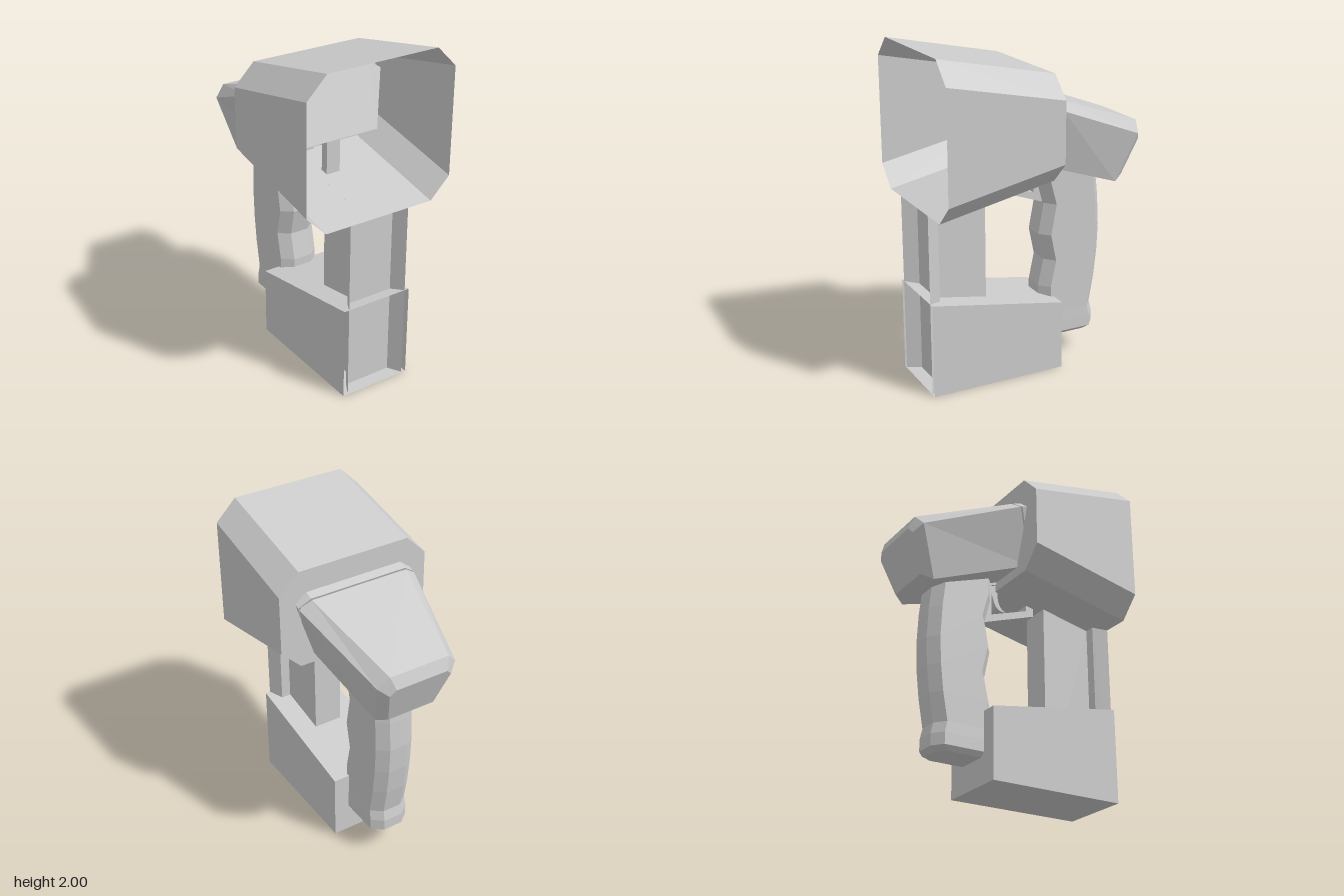
import * as THREE from 'three';

const material = new THREE.MeshStandardMaterial({ color: 0xcccccc, flatShading: true, side: THREE.DoubleSide });

// Joins matching rings of [x, y, z] points with flat faces; caps are fans.
function loft(name, rings, { capStart = true, capEnd = true, closed = true } = {}) {
  const pos = [];
  const tri = (a, b, c) => pos.push(...a, ...b, ...c);
  const n = rings[0].length;
  for (let r = 0; r < rings.length - 1; r++) {
    for (let i = 0; i < (closed ? n : n - 1); i++) {
      const j = (i + 1) % n, a = rings[r], b = rings[r + 1];
      tri(a[i], a[j], b[j]);
      tri(a[i], b[j], b[i]);
    }
  }
  const first = rings[0], last = rings[rings.length - 1];
  for (let i = 1; i < n - 1; i++) {
    if (capStart) tri(first[0], first[i + 1], first[i]);
    if (capEnd) tri(last[0], last[i], last[i + 1]);
  }
  const g = new THREE.BufferGeometry();
  g.setAttribute('position', new THREE.Float32BufferAttribute(pos, 3));
  g.computeVertexNormals();
  const mesh = new THREE.Mesh(g, material);
  mesh.name = name;
  return mesh;
}

// Extrudes a side outline of (z, y) points across x, centred.
function sidePlate(name, shape, width) {
  const g = new THREE.ExtrudeGeometry(shape, { depth: width, bevelEnabled: false, curveSegments: 8 });
  g.translate(0, 0, -width / 2).rotateY(-Math.PI / 2);
  const mesh = new THREE.Mesh(g, material);
  mesh.name = name;
  return mesh;
}
const outline = (pts) => new THREE.Shape(pts.map(([z, y]) => new THREE.Vector2(z, y)));

// Height of the sloping hood floor at depth z
const floorY = (z) => 1.1 + (0.69 - z) * 0.206;

function hoodRing(z, bottom, lowSide, highSide, top) {
  const w = 0.48, f = 0.355;
  return [[-f, bottom, z], [f, bottom, z], [w, lowSide, z], [w, highSide, z],
    [f, top, z], [-f, top, z], [-w, highSide, z], [-w, lowSide, z]];
}

// Head section: s runs along the tilted axis, t is the drop below its top
function headRing(s, [topX, topT], [sideX, sideT], [bottomX, bottomT], inset = 0) {
  const a = topX - inset, b = sideX - inset, c = bottomX - inset;
  const ta = -topT - inset, tb = -sideT, tc = -bottomT + inset;
  return [[-c, tc, s], [c, tc, s], [b, tb, s], [a, ta, s], [-a, ta, s], [-b, tb, s]];
}

// Grip section: rectangle with cut corners
function gripRing([y, front, back, half]) {
  const cx = 0.065, cz = 0.053, w = half, f = front, b = back;
  return [[-w + cx, y, f], [w - cx, y, f], [w, y, f - cz], [w, y, b + cz],
    [w - cx, y, b], [-w + cx, y, b], [-w, y, b + cz], [-w, y, f - cz]];
}

export function createModel() {
  const model = new THREE.Group();

  // Flared hood, open at the front
  model.add(loft('hood', [
    hoodRing(-0.015, 1.245, 1.37, 1.73, 1.855),
    hoodRing(0.69, 1.1, 1.225, 1.875, 2.0),
  ], { capEnd: false }));

  // Tilted head: front block, narrow seam, tapered rear
  const top = [0.31, 0], side = [0.38, 0.053], bottom = [0.28, 0.39];
  const head = loft('head', [
    headRing(0, top, side, bottom),
    headRing(0.222, top, side, bottom),
    headRing(0.222, top, side, bottom, 0.015),
    headRing(0.234, top, side, bottom, 0.015),
    headRing(0.234, top, side, bottom),
    headRing(0.853, [0.19, 0], [0.255, 0.07], [0.19, 0.387]),
    headRing(0.905, [0.165, 0.06], [0.2, 0.1], [0.15, 0.336]),
  ]);
  const tilt = THREE.MathUtils.degToRad(20);
  const c = Math.cos(tilt), s = Math.sin(tilt);
  head.applyMatrix4(new THREE.Matrix4().makeBasis(
    new THREE.Vector3(-1, 0, 0), new THREE.Vector3(0, c, -s), new THREE.Vector3(0, -s, -c),
  ).setPosition(0, 1.775, 0.145));
  model.add(head);

  // Grip with finger waves: [y, front z, back z, half width]
  model.add(loft('grip', [
    [0.16, -0.1, -0.415, 0.1],
    [0.185, -0.075, -0.45, 0.127],
    [0.255, -0.075, -0.45, 0.127],
    [0.32, -0.075, -0.435, 0.125],
    [0.49, -0.075, -0.465, 0.125],
    [0.655, -0.11, -0.483, 0.125],
    [0.82, -0.075, -0.49, 0.125],
    [1.01, -0.11, -0.48, 0.125],
    [1.16, -0.07, -0.463, 0.125],
    [1.28, -0.07, -0.44, 0.125],
  ].map(gripRing)));

  // Trigger guard frame and curved trigger
  const guard = outline([[0.245, 1.4], [0.245, 1.14], [-0.12, 1.01], [-0.12, 1.28]]);
  guard.holes.push(new THREE.Path([[0.195, 1.36], [0.195, 1.165], [-0.05, 1.08], [-0.05, 1.275]]
    .map(([z, y]) => new THREE.Vector2(z, y))));
  model.add(sidePlate('triggerGuard', guard, 0.09));

  const trigger = new THREE.Shape();
  trigger.moveTo(-0.05, 1.29);
  trigger.lineTo(0, 1.3);
  trigger.lineTo(0, 1.23);
  trigger.quadraticCurveTo(0, 1.14, 0.06, 1.125);
  trigger.quadraticCurveTo(-0.01, 1.11, -0.03, 1.19);
  trigger.lineTo(-0.05, 1.25);
  model.add(sidePlate('trigger', trigger, 0.06));

  // Column between base and hood
  model.add(sidePlate('columnBody', outline([
    [0.61, 0.02], [0.29, 0.02], [0.29, floorY(0.29)], [0.61, floorY(0.61)],
  ]), 0.18));

  // Front channel with splayed sides, running down into the base
  const channel = [[-0.195, 0.69], [-0.15, 0.61], [0.15, 0.61], [0.195, 0.69]];
  model.add(loft('columnChannel', [
    channel.map(([x, z]) => [x, 0.005, z]),
    channel.map(([x, z]) => [x, floorY(z), z]),
  ], { capStart: false, capEnd: false, closed: false }));

  // Wedge-topped hollow base, open at the front
  const baseRing = (z, h) => [[-0.225, 0, z], [0.225, 0, z], [0.225, h, z], [-0.225, h, z]];
  model.add(loft('base', [baseRing(-0.15, 0.425), baseRing(0.69, 0.57)], { capEnd: false }));

  return model;
}
